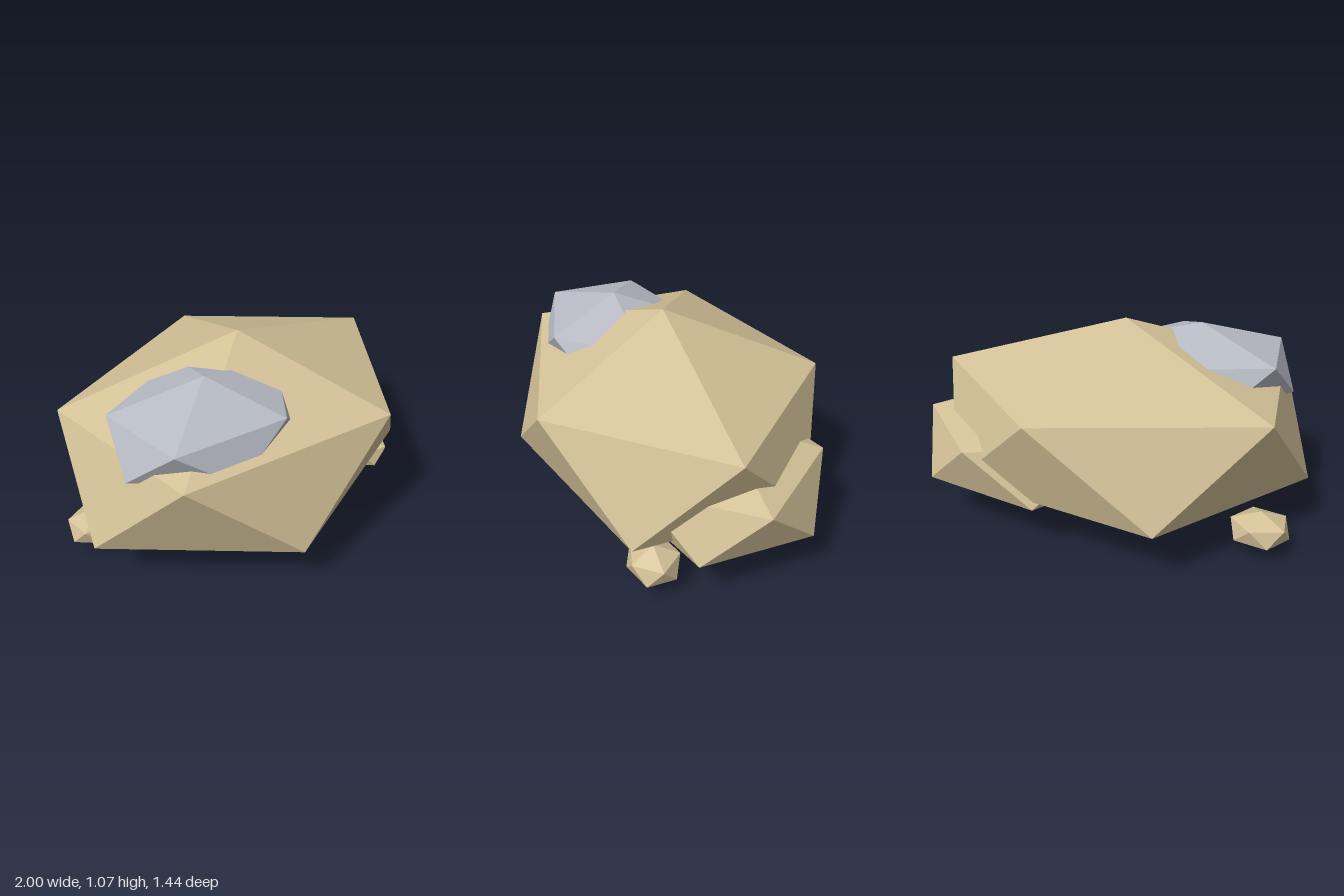
import * as THREE from 'three';

// Icosahedron standing on a point, with one upper-ring corner towards +x
function rockGeometry(rx, ry, rz) {
  const geometry = new THREE.IcosahedronGeometry(1, 0);
  geometry.rotateX(-Math.atan((1 + Math.sqrt(5)) / 2));
  geometry.rotateY(Math.PI / 2);
  geometry.scale(rx, ry, rz);
  geometry.computeVertexNormals();
  return geometry;
}

export function createModel() {
  const group = new THREE.Group();
  group.name = 'rockCluster';

  const sandstone = new THREE.MeshStandardMaterial({ color: 0xd3c197, flatShading: true });
  sandstone.name = 'sandstone';
  const greyStone = new THREE.MeshStandardMaterial({ color: 0xb7bbc4, flatShading: true });
  greyStone.name = 'grey stone';

  // name, material, centre, radii
  const rocks = [
    ['mainBoulder', sandstone, [-0.043, 0.536, 0], [1.068, 0.535, 0.846]],
    ['sideBoulder', sandstone, [0.45, 0.395, -0.105], [0.615, 0.306, 0.552]],
    ['greyCapRock', greyStone, [-0.4, 0.804, 0.14], [0.538, 0.227, 0.431]],
    ['frontPebble', sandstone, [0.664, 0.145, 0.32], [0.163, 0.096, 0.14]],
    ['backPebble', sandstone, [-0.79, 0.145, -0.285], [0.163, 0.096, 0.14]],
  ];

  for (const [name, material, centre, radii] of rocks) {
    const rock = new THREE.Mesh(rockGeometry(...radii), material);
    rock.name = name;
    rock.position.set(...centre);
    group.add(rock);
  }
  return group;
}
